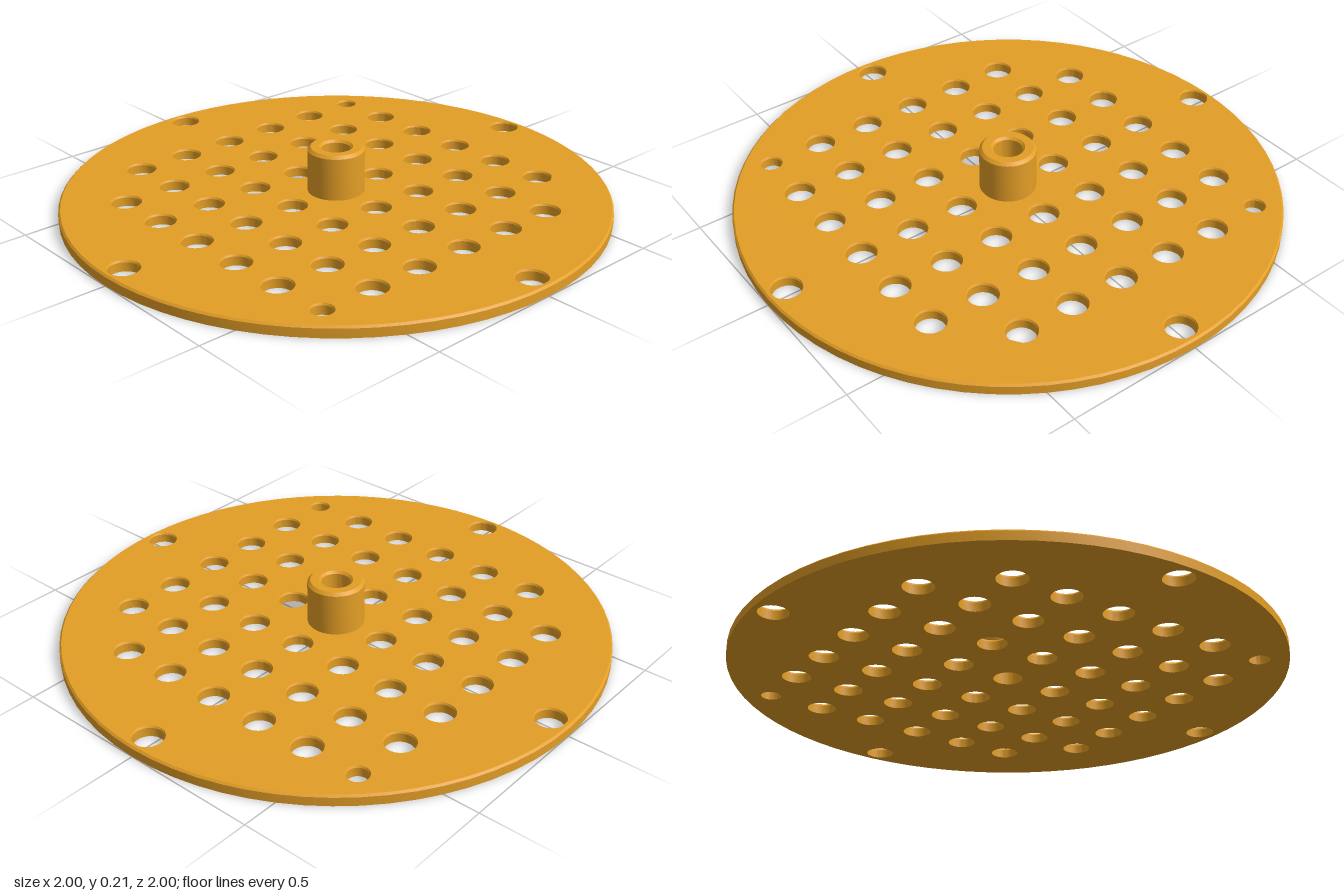
import * as THREE from 'three';
import { toCreasedNormals } from 'three/addons/utils/BufferGeometryUtils.js';

const PITCH = 0.211, HOLE = 0.053, SMALL_HOLE = 0.037;
const THICKNESS = 0.04, CHAMFER = 0.007, HUB_RADIUS = 0.104, HUB_HEIGHT = 0.21;

// Positions and radii of all perforations
function holeLayout() {
  const holes = [];
  for (let i = -3; i <= 3; i++) {
    for (let j = -3; j <= 3; j++) {
      if (i === 0 && j === 0) continue; // the hub sits here
      const corner = Math.abs(i) === 3 && Math.abs(j) === 3;
      if (corner && i === j) continue; // two opposite corners stay solid
      holes.push({ x: i * PITCH, z: j * PITCH, r: corner ? SMALL_HOLE : HOLE });
    }
  }
  for (const [x, z] of [[1, 0], [-1, 0], [0, 1], [0, -1]]) {
    holes.push({ x: x * 0.927, z: z * 0.927, r: HOLE });
  }
  return holes;
}

function circle(PathType, x, y, r, segments) {
  const points = [];
  for (let i = 0; i < segments; i++) {
    const a = (i / segments) * Math.PI * 2;
    points.push(new THREE.Vector2(x + r * Math.cos(a), y + r * Math.sin(a)));
  }
  return new PathType(points);
}

function plateGeometry() {
  const holes = holeLayout();
  const shape = circle(THREE.Shape, 0, 0, 1, 72);
  shape.holes.push(circle(THREE.Path, 0, 0, HUB_RADIUS - 0.002, 48));
  for (const h of holes) shape.holes.push(circle(THREE.Path, h.x, -h.z, h.r, 32));

  const geometry = new THREE.ExtrudeGeometry(shape, { depth: THICKNESS, steps: 2, bevelEnabled: false });
  geometry.rotateX(-Math.PI / 2);

  // Turn the upper layer into a chamfer on the rim and around each hole
  const pos = geometry.attributes.position;
  for (let i = 0; i < pos.count; i++) {
    const x = pos.getX(i), y = pos.getY(i), z = pos.getZ(i);
    if (y < THICKNESS * 0.25) continue;
    if (y < THICKNESS * 0.75) {
      pos.setY(i, THICKNESS - CHAMFER);
      continue;
    }
    if (Math.hypot(x, z) > 0.99) {
      pos.setXYZ(i, x * (1 - CHAMFER), y, z * (1 - CHAMFER));
      continue;
    }
    const h = holes.find((o) => Math.hypot(x - o.x, z - o.z) < o.r + 0.001);
    if (h) {
      const s = (h.r + CHAMFER * 0.6) / h.r;
      pos.setXYZ(i, h.x + (x - h.x) * s, y, h.z + (z - h.z) * s);
    }
  }
  return toCreasedNormals(geometry, 0.5);
}

// Tubular hub with its bore running through the plate
function hubGeometry() {
  const profile = [
    [HOLE, 0], [HUB_RADIUS, 0], [HUB_RADIUS, HUB_HEIGHT - 0.011],
    [HUB_RADIUS - 0.011, HUB_HEIGHT], [HOLE + 0.009, HUB_HEIGHT],
    [HOLE, HUB_HEIGHT - 0.009], [HOLE, 0],
  ].map(([r, y]) => new THREE.Vector2(r, y));
  return toCreasedNormals(new THREE.LatheGeometry(profile, 48), 0.5);
}

export function createModel() {
  const group = new THREE.Group();
  group.name = 'perforatedDisc';
  const material = new THREE.MeshStandardMaterial({ color: 0xe39e26 });
  const parts = { plate: plateGeometry(), hub: hubGeometry() };
  for (const [name, geometry] of Object.entries(parts)) {
    const mesh = new THREE.Mesh(geometry, material);
    mesh.name = name;
    group.add(mesh);
  }
  return group;
}
